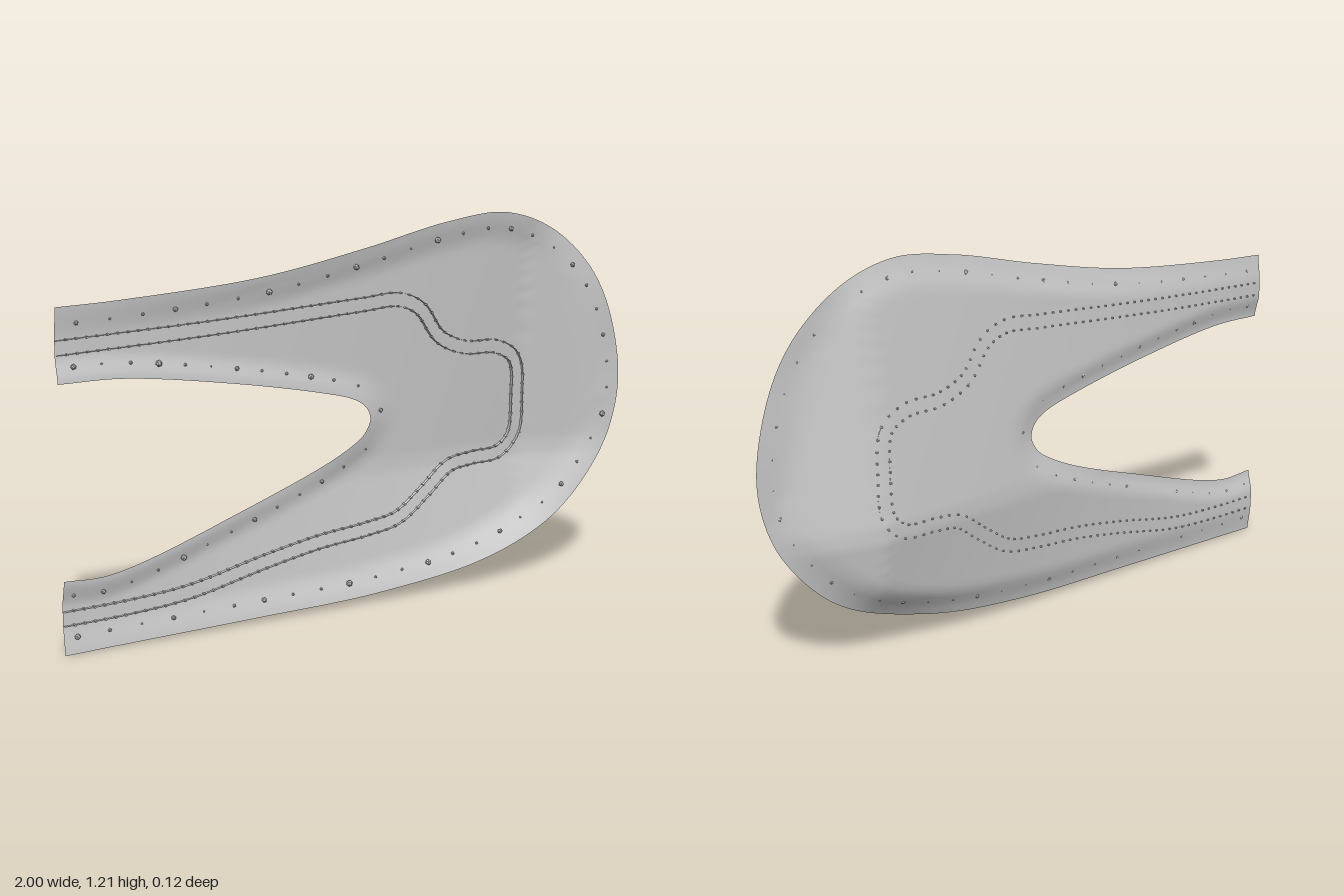
import * as THREE from 'three';
import { mergeGeometries } from 'three/addons/utils/BufferGeometryUtils.js';

const curve = (pts) => new THREE.CatmullRomCurve3(pts.map(([x, y]) => new THREE.Vector3(x, y, 0)));

// Outer and inner outline of the U-shaped basin, matched point for point
const outer = curve([[-1, 1], [-0.8, 1.01], [-0.36, 1.05], [0, 1.12], [0.3, 1.19], [0.52, 1.213],
  [0.7, 1.16], [0.85, 1.04], [0.95, 0.87], [1, 0.65], [0.965, 0.47], [0.87, 0.32], [0.72, 0.19],
  [0.42, 0.08], [0.05, 0.03], [-0.4, 0.015], [-0.85, 0.004], [-1, 0]]);
const inner = curve([[-1, 0.785], [-0.8, 0.785], [-0.45, 0.74], [-0.15, 0.685], [-0.03, 0.655], [0.01, 0.635],
  [0.025, 0.622], [0.035, 0.608], [0.04, 0.595], [0.042, 0.58], [0.038, 0.565], [0.03, 0.55], [0.015, 0.53],
  [-0.02, 0.505], [-0.12, 0.455], [-0.4, 0.355], [-0.85, 0.22], [-1, 0.22]]);
const N = 204, M = 24;
const outerPts = outer.getPoints(N), innerPts = inner.getPoints(N);

// Centre line of the winding track
const track = curve([[-1, 0.885], [-0.5, 0.91], [0, 0.945], [0.14, 0.953], [0.22, 0.92], [0.3, 0.825], [0.4, 0.783],
  [0.53, 0.775], [0.605, 0.73], [0.625, 0.6], [0.62, 0.47], [0.565, 0.42], [0.45, 0.41], [0.36, 0.395],
  [0.26, 0.325], [0.15, 0.255], [0.03, 0.233], [-0.15, 0.215], [-0.35, 0.18], [-0.6, 0.128], [-0.8, 0.112], [-1, 0.107]]);

const distance = (pts, x, y) => Math.sqrt(pts.reduce((m, p) => Math.min(m, (p.x - x) ** 2 + (p.y - y) ** 2), 9));

// Basin relief: a floor dipping to one low point, rising to the rims
function height(x, y) {
  const deep = -0.058 + 0.1 * Math.max(0, y - 0.45) + 0.17 * Math.max(0, 0.4 - y);
  const t = Math.min(1, (x + 1) / 1.63);
  const rim = 0.033 + 0.01 * Math.exp(-30 * ((x - 0.9) ** 2 + (y - 0.95) ** 2))
    + 0.01 * Math.exp(-30 * ((x - 0.5) ** 2 + (y - 0.1) ** 2));
  const floor = Math.min(rim, THREE.MathUtils.lerp(0.022, deep, t) + 0.27 * Math.max(0, x - 0.63));
  const a = THREE.MathUtils.smoothstep(distance(outerPts, x, y), -0.02, 0.1);
  const a0 = THREE.MathUtils.smoothstep(0, -0.02, 0.1);
  const b = 1 - THREE.MathUtils.smoothstep(distance(innerPts, x, y), 0, 0.08);
  return THREE.MathUtils.lerp(rim, floor, (a - a0) / (1 - a0)) + 0.016 * b;
}

// Surface through rows of points
function loft(rows) {
  const w = rows[0].length, index = [];
  for (let i = 0; i < rows.length - 1; i++) {
    for (let j = 0; j < w - 1; j++) {
      const a = i * w + j, b = a + w;
      index.push(a, a + 1, b, b, a + 1, b + 1);
    }
  }
  const g = new THREE.BufferGeometry();
  g.setAttribute('position', new THREE.Float32BufferAttribute(rows.flat(2), 3));
  g.setIndex(index);
  g.computeVertexNormals();
  return g;
}

export function createModel() {
  const group = new THREE.Group();
  const material = new THREE.MeshStandardMaterial({ color: 0xcccccc, side: THREE.DoubleSide });
  const add = (name, geometry) => {
    const mesh = new THREE.Mesh(geometry, material);
    mesh.name = name;
    group.add(mesh);
  };

  // Basin ground
  add('ground', loft(outerPts.map((p, i) => Array.from({ length: M + 1 }, (_, j) => {
    const q = p.clone().lerp(innerPts[i], j / M);
    return [q.x, q.y, height(q.x, q.y)];
  }))));

  // Track with a guard rail and posts on each side
  const steps = 230, road = [], rails = [[], []], posts = [];
  for (let i = 0; i <= steps; i++) {
    const p = track.getPointAt(i / steps), t = track.getTangentAt(i / steps);
    const sides = [1, -1].map((s) => {
      const x = p.x - t.y * 0.021 * s, y = p.y + t.x * 0.021 * s;
      return [x, y, height(x, y)];
    });
    road.push(sides.map(([x, y, z]) => [x, y, z + 0.002]));
    sides.forEach(([x, y, z], k) => {
      rails[k].push([[x, y, z], [x, y, z + 0.012]]);
      if (i % 2 || i === 0 || i === steps) return;
      const post = new THREE.BoxGeometry(0.005, 0.005, 0.02);
      post.rotateZ(Math.atan2(t.y, t.x));
      posts.push(post.translate(x, y, z + 0.004));
    });
  }
  add('road', loft(road));
  add('outerGuardRail', loft(rails[0]));
  add('innerGuardRail', loft(rails[1]));
  add('railPosts', mergeGeometries(posts));

  // Small shrubs scattered along both rims
  let seed = 7;
  const random = () => (seed = (seed * 16807) % 2147483647) / 2147483647;
  const shrubs = [];
  for (const [edge, side, count, inset] of [[outer, -1, 46, 0.05], [inner, 1, 26, 0.045]]) {
    for (let i = 0; i < count; i++) {
      const u = (i + 0.6) / count, p = edge.getPointAt(u), t = edge.getTangentAt(u);
      const x = p.x - t.y * inset * side, y = p.y + t.x * inset * side;
      const r = i % 3 ? 0.003 + 0.003 * random() : 0.007 + 0.004 * random();
      shrubs.push(new THREE.IcosahedronGeometry(r, 0).rotateZ(random() * 6).translate(x, y, height(x, y) + r * 0.6));
    }
  }
  add('shrubs', mergeGeometries(shrubs));
  return group;
}
